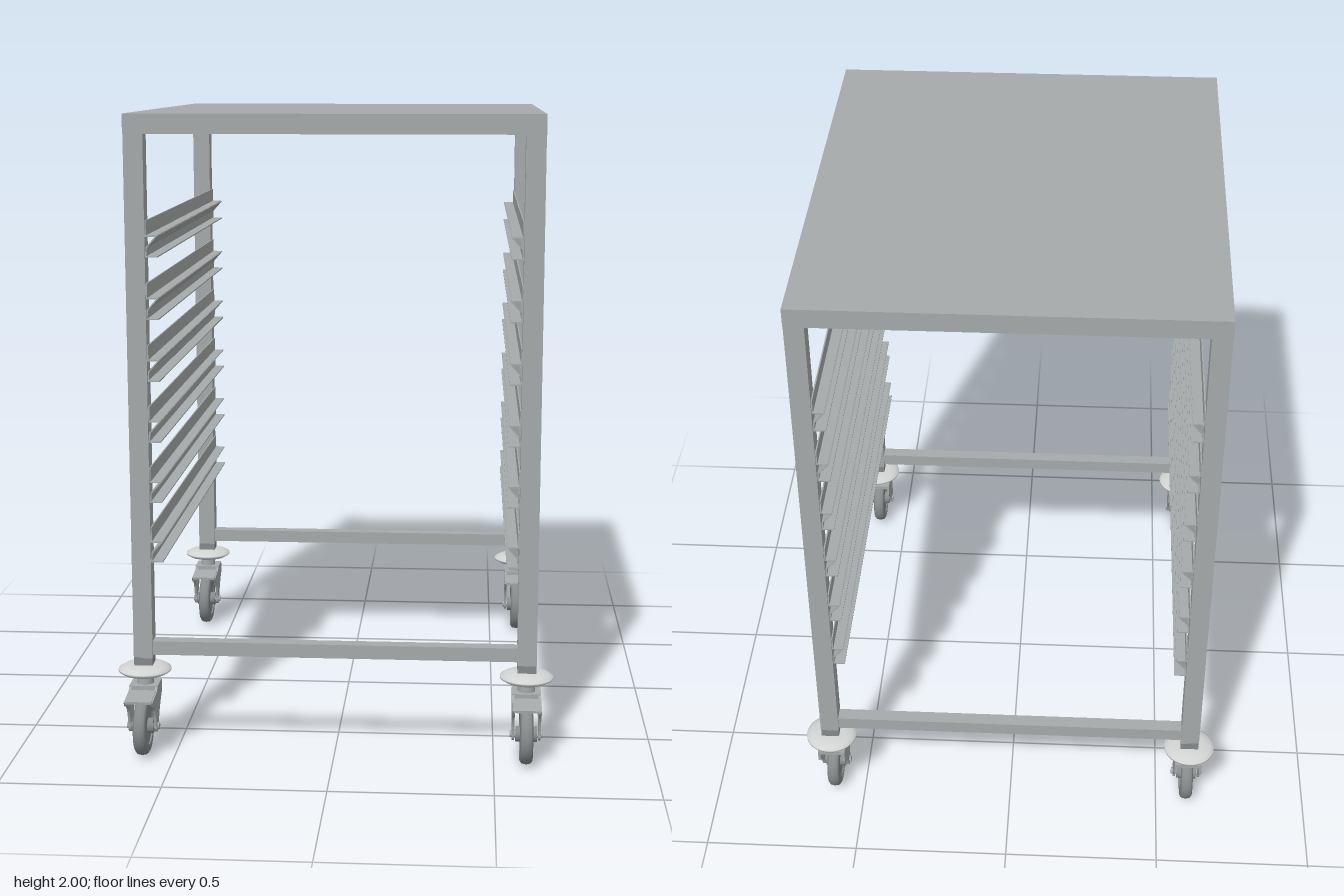
import * as THREE from 'three';
import { mergeGeometries } from 'three/addons/utils/BufferGeometryUtils.js';

const steel = new THREE.MeshStandardMaterial({ color: 0xa6aaaa });
steel.name = 'brushed steel';
const bumperGrey = new THREE.MeshStandardMaterial({ color: 0xd2d4d4 });
bumperGrey.name = 'pale bumper';
const tyreGrey = new THREE.MeshStandardMaterial({ color: 0x868a8a });
tyreGrey.name = 'grey rubber';

const Z_FRONT = 0.68, Z_BACK = -0.733, Z_MID = -0.026, X_POST = 0.6;

function add(parent, name, geometry, material, x = 0, y = 0, z = 0) {
  const mesh = new THREE.Mesh(geometry, material);
  mesh.name = name;
  mesh.position.set(x, y, z);
  parent.add(mesh);
  return mesh;
}

const box = (w, h, d) => new THREE.BoxGeometry(w, h, d);
const lathe = (pts, n = 32) => new THREE.LatheGeometry(pts.map(p => new THREE.Vector2(...p)), n);

// Shape drawn in (z, y), extruded across x and centred on x = 0
function sidePlate(shape, thickness) {
  return new THREE.ExtrudeGeometry(shape, { depth: thickness, bevelEnabled: false, curveSegments: 10 })
    .translate(0, 0, -thickness / 2).rotateY(-Math.PI / 2);
}

// Folded sheet runner: one thin strip per fold, for the +x side (inwards is -x)
function railGeometry(length) {
  const path = [[0, 0.11], [0, 0.065], [-0.033, 0.065], [-0.002, 0.03], [0, 0.002], [-0.034, 0.002]];
  const strips = [];
  for (let i = 0; i < path.length - 1; i++) {
    const [x0, y0] = path[i], [x1, y1] = path[i + 1];
    const len = Math.hypot(x1 - x0, y1 - y0);
    strips.push(box(len + 0.003, 0.004, length)
      .rotateZ(Math.atan2(y1 - y0, x1 - x0))
      .translate((x0 + x1) / 2, (y0 + y1) / 2, 0));
  }
  return mergeGeometries(strips);
}

// Swivel caster, origin on the floor under its stem; wheel trails towards +z
function createCaster() {
  const g = new THREE.Group();
  g.name = 'caster';
  add(g, 'bumperDisc', lathe([[0, 0.25], [0.045, 0.25], [0.07, 0.256], [0.083, 0.264],
    [0.083, 0.27], [0.07, 0.278], [0.045, 0.286], [0, 0.286]]), bumperGrey);
  add(g, 'postSocket', box(0.058, 0.03, 0.058), tyreGrey, 0, 0.298, 0);
  add(g, 'stem', new THREE.CylinderGeometry(0.027, 0.027, 0.04, 24), steel, 0, 0.235, 0);

  // Fork: two cheeks under a crown plate
  const cheek = new THREE.Shape();
  cheek.moveTo(-0.042, 0.222);
  cheek.lineTo(0.035, 0.222);
  cheek.lineTo(0.05, 0.208);
  cheek.lineTo(0.135, 0.2);
  cheek.lineTo(0.125, 0.185);
  cheek.quadraticCurveTo(0.075, 0.18, 0.066, 0.1);
  cheek.absarc(0.046, 0.097, 0.02, 0, -Math.PI, true);
  cheek.quadraticCurveTo(0.005, 0.15, -0.042, 0.18);
  cheek.closePath();
  const cheekGeo = sidePlate(cheek, 0.008);
  for (const s of [-1, 1]) add(g, 'forkCheek', cheekGeo, steel, s * 0.041, 0, 0);
  add(g, 'forkCrown', box(0.09, 0.014, 0.08), steel, 0, 0.215, -0.002);
  const pedal = add(g, 'brakePedal', box(0.082, 0.008, 0.09), steel, 0, 0.203, 0.09);
  pedal.rotation.x = 0.09;

  // Wheel: rounded tyre, recessed web, hub and axle
  const wheel = new THREE.Group();
  wheel.name = 'wheel';
  wheel.position.set(0, 0.096, 0.046);
  wheel.rotation.z = Math.PI / 2;
  g.add(wheel);
  add(wheel, 'tyre', lathe([[0.06, -0.02], [0.082, -0.02], [0.09, -0.014], [0.093, 0],
    [0.09, 0.014], [0.082, 0.02], [0.06, 0.02], [0.06, -0.02]], 40), tyreGrey);
  add(wheel, 'wheelWeb', new THREE.CylinderGeometry(0.061, 0.061, 0.03, 32), tyreGrey);
  add(wheel, 'hub', new THREE.CylinderGeometry(0.024, 0.024, 0.066, 24), tyreGrey);
  add(wheel, 'axleBolt', new THREE.CylinderGeometry(0.011, 0.011, 0.102, 12), steel);
  return g;
}

export function createModel() {
  const model = new THREE.Group();
  model.name = 'trayTrolley';

  // Worktop: sheet with a turned-down rim, open below
  const W = 1.262, D = 1.472, T = 0.01;
  add(model, 'worktopSheet', box(W, T, D), steel, 0, 1.995, Z_MID);
  for (const s of [-1, 1]) {
    add(model, 'worktopSideRim', box(T, 0.05, D), steel, s * (W - T) / 2, 1.965, Z_MID);
    add(model, 'worktopEndRim', box(W - 2 * T, 0.05, T), steel, 0, 1.965, Z_MID + s * (D - T) / 2);
    add(model, 'worktopStiffener', box(0.05, 0.035, D - 2 * T), steel, s * 0.23, 1.9725, Z_MID);
  }

  // Posts, casters and low cross bars
  for (const z of [Z_FRONT, Z_BACK]) {
    for (const s of [-1, 1]) {
      add(model, 'post', box(0.06, 1.68, 0.058), steel, s * X_POST, 1.15, z);
      const caster = createCaster();
      caster.position.set(s * X_POST, 0, z);
      model.add(caster);
    }
    add(model, 'crossBar', box(1.14, 0.044, 0.044), steel, 0, 0.342, z);
  }

  // Six pairs of tray runners
  const right = railGeometry(1.46);
  const left = right.clone().rotateY(Math.PI);
  for (let i = 0; i < 6; i++) {
    const y = 0.62 + i * 0.19;
    add(model, 'trayRunner', right, steel, 0.568, y, Z_MID);
    add(model, 'trayRunner', left, steel, -0.568, y, Z_MID);
  }
  return model;
}
